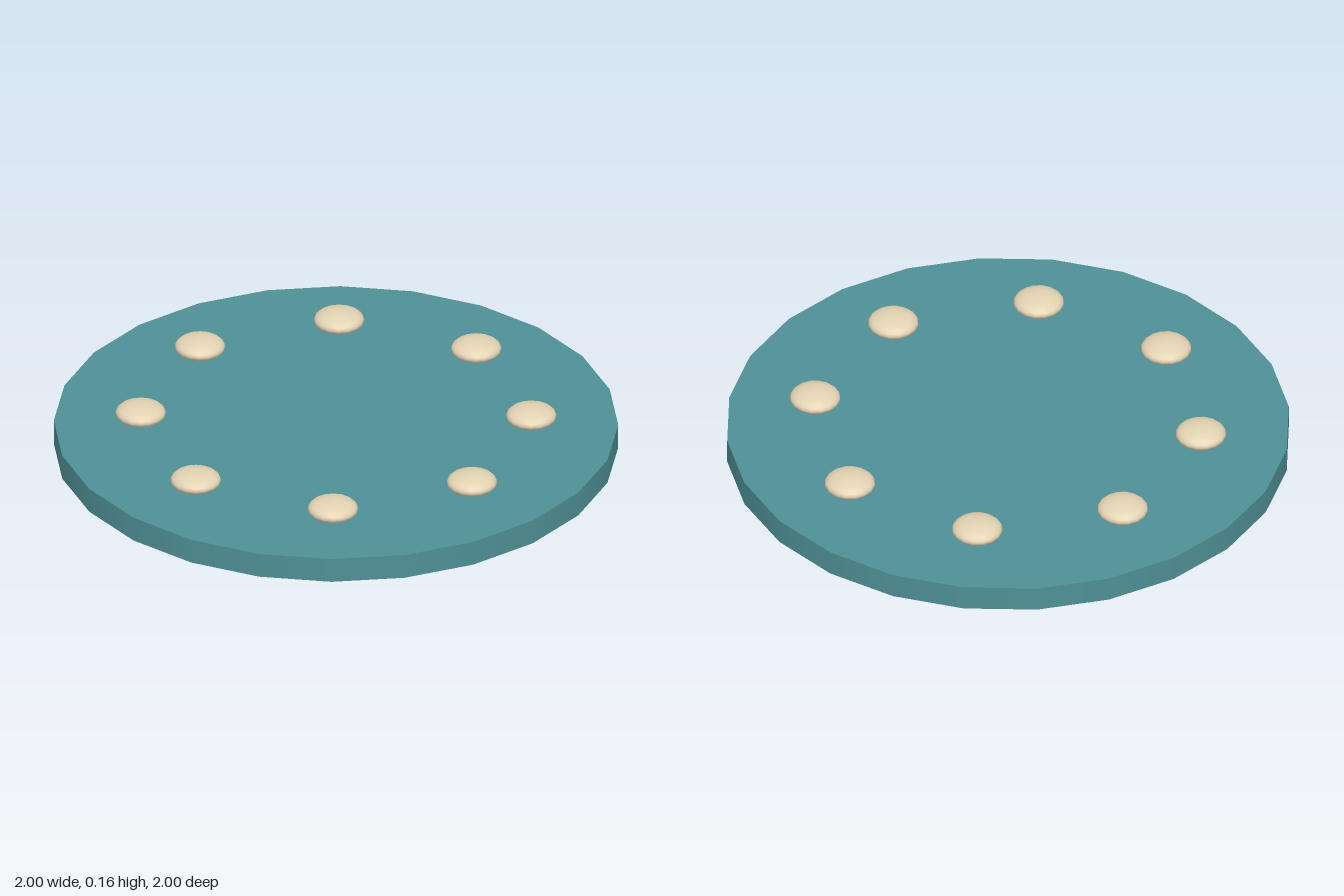
import * as THREE from 'three';

const teal = new THREE.MeshStandardMaterial({ color: 0x4f9096 });
teal.name = 'teal';
const cream = new THREE.MeshStandardMaterial({ color: 0xe2d2b2 });
cream.name = 'cream';

export function createModel() {
  const model = new THREE.Group();
  model.name = 'studdedDisc';

  // Flat round base
  const height = 0.092;
  const base = new THREE.Mesh(new THREE.CylinderGeometry(1, 1, height, 24), teal);
  base.name = 'base';
  base.position.y = height / 2;
  model.add(base);

  // Ring of flattened studs resting on the base
  const studGeometry = new THREE.SphereGeometry(0.09, 16, 12).scale(1, 0.4, 1);
  const studs = new THREE.Group();
  studs.name = 'studs';
  const count = 8;
  const ringRadius = 0.692;
  for (let i = 0; i < count; i++) {
    const angle = (i / count) * Math.PI * 2;
    const stud = new THREE.Mesh(studGeometry, cream);
    stud.name = `stud${i + 1}`;
    stud.position.set(Math.cos(angle) * ringRadius, 0.127, Math.sin(angle) * ringRadius);
    studs.add(stud);
  }
  model.add(studs);

  return model;
}
